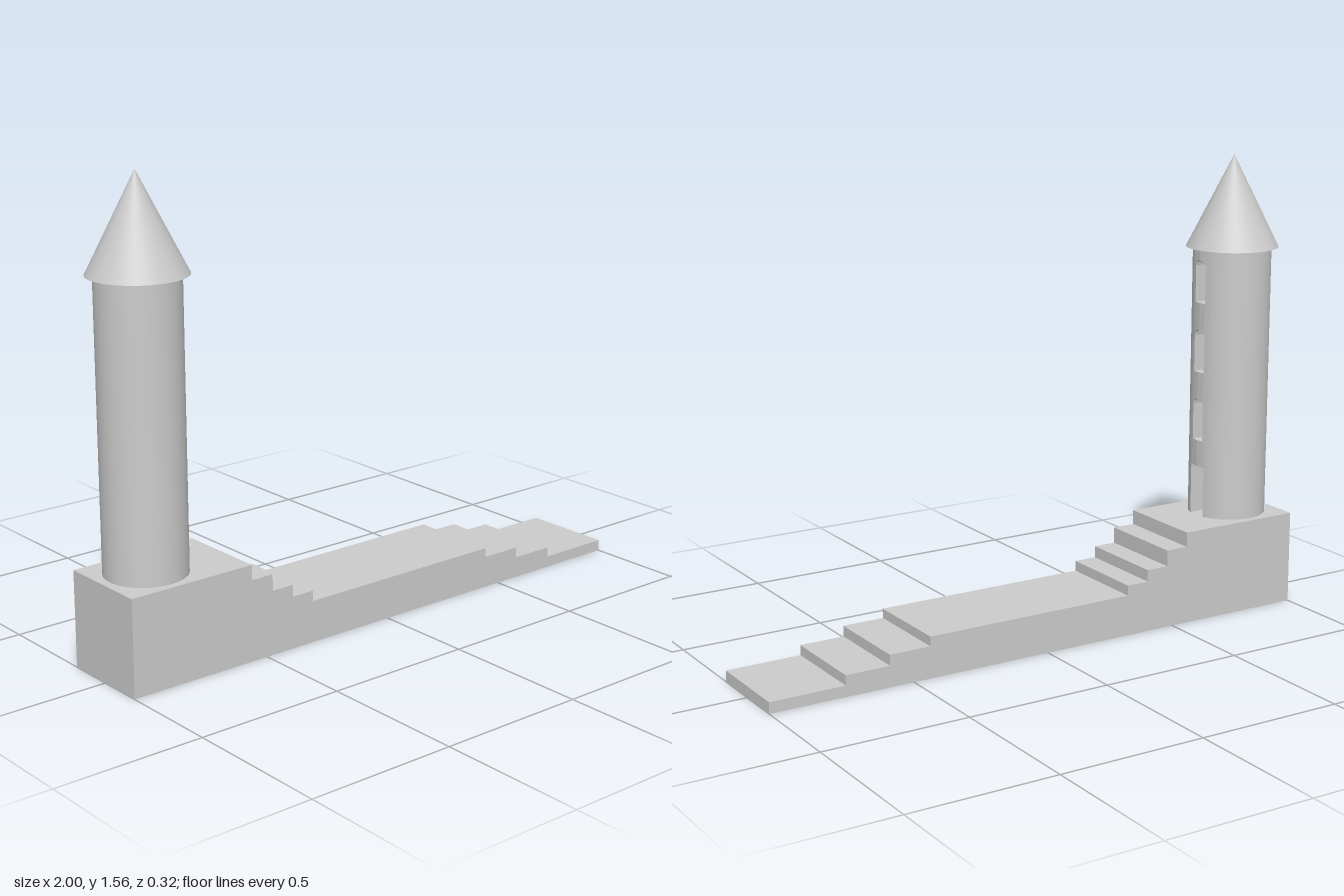
import * as THREE from 'three';

const R = 0.133, FLOOR = 0.32, TOP = 1.25, TOWER_X = -0.84;
const STRIP = 0.045, BACK = 0.02; // half width of the window strip, plane behind the openings

export function createModel() {
  const group = new THREE.Group();
  const mat = new THREE.MeshStandardMaterial({ color: 0xcccccc });
  const add = (name, geo, parent = group) => {
    const mesh = new THREE.Mesh(geo, mat);
    mesh.name = name;
    parent.add(mesh);
    return mesh;
  };

  // Stepped plinth: [right edge of tread, tread height]
  const treads = [[-0.555, FLOOR], [-0.475, 0.27], [-0.395, 0.215], [-0.315, 0.175],
    [0.44, 0.14], [0.585, 0.108], [0.74, 0.072], [1, 0.038]];
  const side = new THREE.Shape();
  side.moveTo(-1, 0);
  let x = -1;
  for (const [right, y] of treads) {
    side.lineTo(x, y);
    side.lineTo(right, y);
    x = right;
  }
  side.lineTo(1, 0);
  const plinth = new THREE.ExtrudeGeometry(side, { depth: 0.316, bevelEnabled: false });
  add('steppedBase', plinth.translate(0, 0, -0.158));

  const tower = new THREE.Group();
  tower.name = 'tower';
  tower.position.x = TOWER_X;
  group.add(tower);

  // Round wall, left open along the strip that holds the door and windows
  const a = Math.asin(STRIP / R);
  const wall = new THREE.CylinderGeometry(R, R, TOP - FLOOR, 48, 1, true, Math.PI / 2 + a, 2 * Math.PI - 2 * a);
  add('towerWall', wall.translate(0, (TOP + FLOOR) / 2, 0), tower);

  // Half of the strip, notched by half of each opening; its front is bent to the wall curve
  const halfStrip = (s) => {
    const p = [[STRIP, FLOOR], [0.035, FLOOR], [0.035, 0.495], [0, 0.495]];
    for (const sill of [0.587, 0.826, 1.066]) {
      p.push([0, sill], [0.027, sill], [0.027, sill + 0.125], [0.024, sill + 0.137], [0.016, sill + 0.144], [0, sill + 0.144]);
    }
    p.push([0, TOP], [STRIP, TOP]);
    const shape = new THREE.Shape(p.map(([u, y]) => new THREE.Vector2(s * u, y)));
    const geo = new THREE.ExtrudeGeometry(shape, { depth: R - BACK, bevelEnabled: false });
    geo.rotateY(Math.PI / 2).translate(BACK, 0, 0);
    const pos = geo.attributes.position;
    for (let i = 0; i < pos.count; i++) {
      if (pos.getX(i) > R / 2) pos.setX(i, Math.sqrt(R * R - pos.getZ(i) ** 2));
    }
    geo.computeVertexNormals();
    return geo;
  };
  add('windowStripLeft', halfStrip(1), tower);
  add('windowStripRight', halfStrip(-1), tower);

  // Surface closing the back of the openings
  const back = new THREE.PlaneGeometry(2 * STRIP, TOP - FLOOR).rotateY(Math.PI / 2);
  add('recessBack', back.translate(BACK, (TOP + FLOOR) / 2, 0), tower);

  // Pointed roof with a small overhang
  const roof = new THREE.ConeGeometry(0.157, 0.312, 48);
  add('roof', roof.translate(0, TOP + 0.156, 0), tower);

  return group;
}
